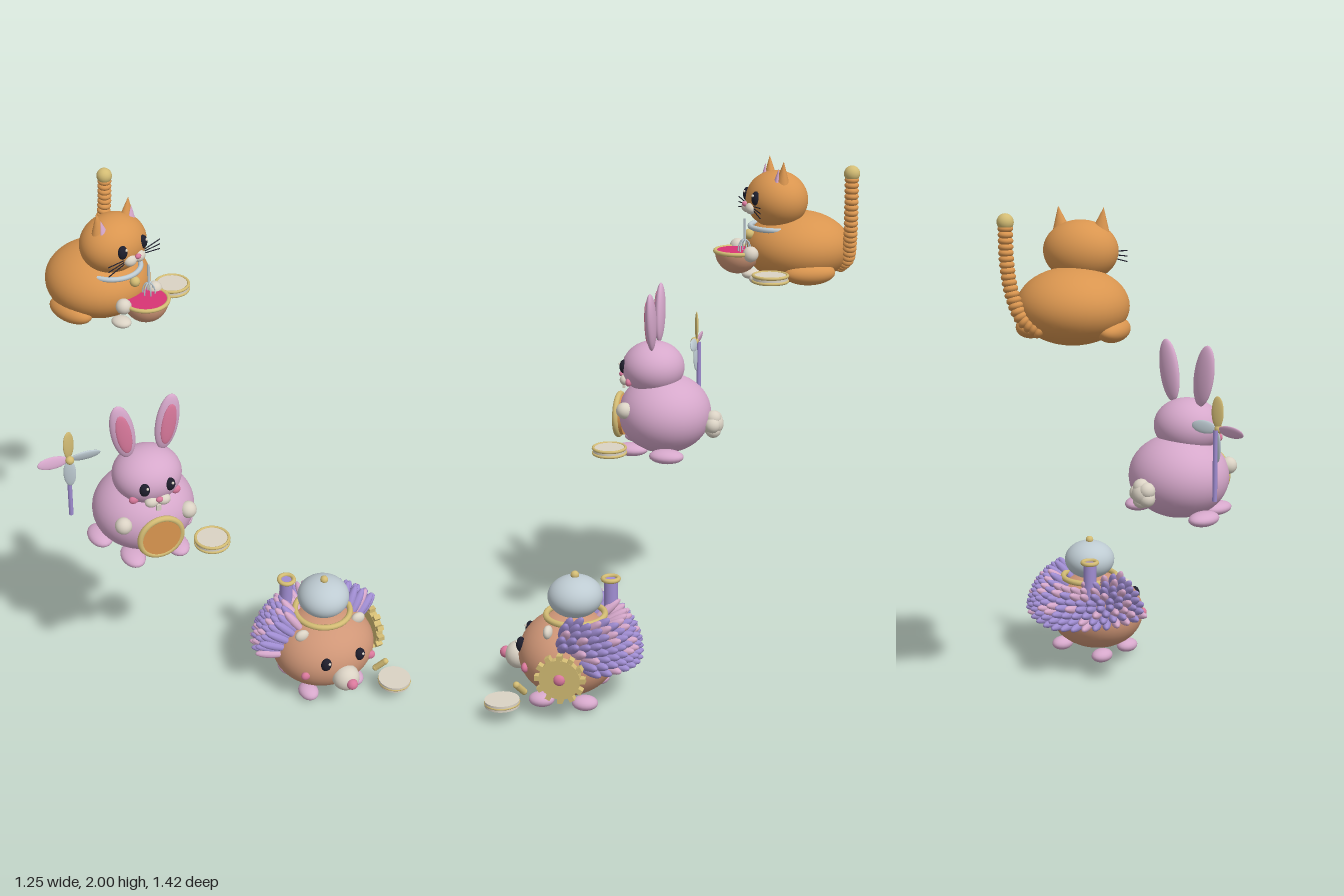
import * as THREE from 'three';
import { mergeGeometries } from 'three/addons/utils/BufferGeometryUtils.js';

const mat = (name, color) => Object.assign(new THREE.MeshStandardMaterial({ color }), { name });
const orange = mat('orange', 0xd9954f), mauve = mat('mauve', 0xd6a8cb), terracotta = mat('terracotta', 0xcf9677);
const cream = mat('cream', 0xdad2c4), gold = mat('gold', 0xd3bc74), steel = mat('pale steel', 0xbecbd2);
const purple = mat('purple', 0xa08dd2), rose = mat('rose', 0xd9799c), magenta = mat('magenta', 0xd83474);
const dark = mat('dark', 0x1e1e2c);

function add(parent, name, geo, material, pos, rot = [0, 0, 0]) {
  const m = new THREE.Mesh(geo, material);
  m.name = name;
  m.position.set(...pos);
  m.rotation.set(...rot);
  parent.add(m);
  return m;
}

function ball(parent, name, material, pos, r, rot) {
  const [x, y, z] = Array.isArray(r) ? r : [r, r, r];
  const seg = Math.max(x, y, z) > 0.09 ? 40 : 20;
  return add(parent, name, new THREE.SphereGeometry(1, seg, seg * 0.6).scale(x, y, z), material, pos, rot);
}

function rod(parent, name, material, a, b, r) {
  const path = new THREE.LineCurve3(new THREE.Vector3(...a), new THREE.Vector3(...b));
  return add(parent, name, new THREE.TubeGeometry(path, 1, r, 8), material, [0, 0, 0]);
}

const ring = (parent, name, material, pos, r, tube, rot = [Math.PI / 2, 0, 0]) =>
  add(parent, name, new THREE.TorusGeometry(r, tube, 10, 40), material, pos, rot);

const pair = (fn) => [-1, 1].forEach(fn);

function animal(root, name, x, z, yaw) {
  const g = new THREE.Group();
  g.name = name;
  g.position.set(x, 0, z);
  g.rotation.y = yaw;
  root.add(g);
  return g;
}

// Small round tin with two gold rims
function tin(parent, pos, rims) {
  const [x, y, z] = pos;
  add(parent, 'tin', new THREE.CylinderGeometry(0.066, 0.066, 0.024, 32), cream, pos);
  if (rims) pair((s) => ring(parent, 'tinRim', gold, [x, y + s * 0.01, z], 0.064, 0.006));
  else ring(parent, 'tinBand', gold, pos, 0.064, 0.004);
}

function eyes(parent, x, y, z, r) {
  pair((s) => {
    ball(parent, 'eye', dark, [s * x, y, z], [r * 0.85, r * 1.15, r * 0.7]);
    ball(parent, 'eyeGlint', cream, [s * x + r * 0.25, y + r * 0.5, z + r * 0.6], r * 0.22);
  });
}

function cat(root) {
  const g = animal(root, 'cat', -0.118, -0.505, 0.22);
  ball(g, 'body', orange, [0, 1.66, 0], [0.2, 0.137, 0.203]);
  ball(g, 'head', orange, [0, 1.845, 0.087], [0.136, 0.109, 0.117]);
  pair((s) => {
    add(g, 'ear', new THREE.ConeGeometry(0.044, 0.115, 24).scale(1, 1, 0.8), orange, [s * 0.077, 1.943, 0.09], [0, 0, -s * 0.14]);
    add(g, 'innerEar', new THREE.ConeGeometry(0.026, 0.08, 20).scale(1, 1, 0.5), mauve, [s * 0.076, 1.935, 0.113], [-0.14, 0, -s * 0.14]);
    ball(g, 'muzzle', cream, [s * 0.023, 1.818, 0.197], [0.027, 0.022, 0.022]);
    for (let i = -1; i <= 1; i++)
      rod(g, 'whisker', dark, [s * 0.055, 1.822 + i * 0.008, 0.195], [s * 0.14, 1.817 + i * 0.02, 0.195], 0.002);
    ball(g, 'frontPaw', cream, [s * 0.085, 1.655, 0.215], [0.03, 0.03, 0.03]);
    ball(g, 'foot', cream, [s * 0.048, 1.55, 0.165], [0.034, 0.02, 0.042]);
    ball(g, 'hindLeg', orange, [s * 0.15, 1.583, 0], [0.055, 0.044, 0.1]);
  });
  eyes(g, 0.054, 1.86, 0.187, 0.024);
  ball(g, 'nose', rose, [0, 1.833, 0.215], [0.013, 0.01, 0.01]);
  ring(g, 'collar', steel, [0, 1.742, 0.08], 0.107, 0.01);
  ball(g, 'collarBell', gold, [0, 1.716, 0.195], 0.02);

  // Mixing bowl and whisk
  const bowl = [0.007, 1.655, 0.243];
  add(g, 'bowl', new THREE.SphereGeometry(0.086, 32, 12, 0, Math.PI * 2, Math.PI / 2, Math.PI / 2), terracotta, bowl);
  add(g, 'bowlFilling', new THREE.CylinderGeometry(0.081, 0.081, 0.008, 32), magenta, bowl);
  ring(g, 'bowlRim', gold, bowl, 0.085, 0.008);
  rod(g, 'whiskHandle', steel, [0.042, 1.7, 0.226], [0.042, 1.785, 0.226], 0.005);
  for (let i = 0; i < 3; i++) {
    const wire = new THREE.TorusGeometry(0.024, 0.0025, 6, 24).scale(1, 1.6, 1);
    add(g, 'whiskWire', wire, steel, [0.042, 1.666, 0.226], [0, i * Math.PI / 3, 0]);
  }

  // Beaded tail
  const path = new THREE.CatmullRomCurve3([[0.07, 1.59, -0.15], [0.13, 1.63, -0.158], [0.172, 1.72, -0.15],
    [0.192, 1.83, -0.143], [0.196, 1.94, -0.14]].map((p) => new THREE.Vector3(...p)));
  const up = new THREE.Vector3(0, 1, 0);
  for (let i = 0; i <= 19; i++) {
    const p = path.getPointAt(i / 19);
    const b = ball(g, 'tailBead', orange, p.toArray(), [0.027, 0.016, 0.027]);
    b.quaternion.setFromUnitVectors(up, path.getTangentAt(i / 19));
  }
  ball(g, 'tailTip', gold, [0.196, 1.963, -0.14], 0.03);
  tin(g, [0.222, 1.59, 0.18], true);
}

function rabbit(root) {
  const g = animal(root, 'rabbit', -0.274, 0, -0.24);
  ball(g, 'body', mauve, [0, 0.95, 0], [0.197, 0.16, 0.187]);
  ball(g, 'head', mauve, [0, 1.138, 0.047], [0.133, 0.106, 0.125]);
  pair((s) => {
    ball(g, 'ear', mauve, [s * 0.088, 1.342, 0.038], [0.046, 0.12, 0.021], [0, 0, -s * 0.17]);
    ball(g, 'innerEar', rose, [s * 0.088, 1.34, 0.054], [0.029, 0.088, 0.008], [0, 0, -s * 0.17]);
    ball(g, 'muzzle', cream, [s * 0.024, 1.085, 0.158], [0.027, 0.022, 0.022]);
    ball(g, 'cheek', rose, [s * 0.084, 1.092, 0.13], [0.019, 0.017, 0.013]);
    ball(g, 'frontPaw', cream, [s * 0.13, 0.987, 0.138], 0.033);
    ball(g, 'frontFoot', mauve, [s * 0.09, 0.815, 0.12], [0.046, 0.026, 0.068]);
    ball(g, 'hindFoot', mauve, [s * 0.165, 0.818, -0.04], [0.048, 0.028, 0.07]);
  });
  eyes(g, 0.05, 1.147, 0.158, 0.024);
  ball(g, 'nose', rose, [0, 1.103, 0.178], [0.014, 0.011, 0.01]);
  add(g, 'teeth', new THREE.BoxGeometry(0.018, 0.026, 0.008), cream, [0, 1.058, 0.168]);

  // Drum
  add(g, 'drum', new THREE.CylinderGeometry(0.083, 0.083, 0.034, 36), orange, [0, 0.932, 0.18], [Math.PI / 2, 0, 0]);
  ring(g, 'drumRim', gold, [0, 0.932, 0.188], 0.083, 0.012, [0, 0, 0]);

  // Fluffy tail
  ball(g, 'tail', cream, [0, 0.915, -0.195], 0.046);
  for (let i = 0; i < 5; i++) {
    const a = i * Math.PI * 0.4;
    ball(g, 'tailTuft', cream, [Math.cos(a) * 0.026, 0.915 + Math.sin(a) * 0.026, -0.2], 0.032);
  }

  // Pinwheel on a stick
  const wheel = new THREE.Group();
  wheel.name = 'pinwheel';
  wheel.position.set(-0.261, 1.185, -0.08);
  g.add(wheel);
  rod(wheel, 'stick', purple, [0, -0.27, -0.01], [0, 0, -0.01], 0.009);
  ball(wheel, 'hub', gold, [0, 0, 0.008], 0.017);
  [steel, gold, mauve, steel].forEach((m, i) => {
    const a = i * Math.PI / 2;
    ball(wheel, 'blade', m, [Math.cos(a) * 0.065, Math.sin(a) * 0.065, 0], [0.06, 0.024, 0.007], [0, 0, a]).rotateX(0.3);
  });
  tin(g, [0.211, 0.845, 0.181], true);
}

function hedgehog(root) {
  const g = animal(root, 'hedgehog', 0.338, 0.39, -0.2);
  ball(g, 'body', terracotta, [0, 0.187, 0], [0.213, 0.16, 0.19]);
  ball(g, 'snout', cream, [0.003, 0.16, 0.195], [0.056, 0.054, 0.054]);
  ball(g, 'nose', rose, [0.003, 0.166, 0.247], 0.023);
  eyes(g, 0.076, 0.235, 0.168, 0.026);
  pair((s) => {
    ball(g, 'cheek', rose, [s * 0.149, 0.175, 0.135], [0.02, 0.019, 0.015]);
    ball(g, 'ear', cream, [s * 0.128, 0.315, 0.05], [0.03, 0.026, 0.018]);
    ball(g, 'frontFoot', mauve, [s * 0.105, 0.028, 0.085], [0.04, 0.028, 0.05]);
    ball(g, 'hindFoot', mauve, [s * 0.115, 0.03, -0.085], [0.04, 0.028, 0.05]);
  });

  // Quills in staggered rows over the back
  let seed = 7;
  const rand = () => (seed = (seed * 16807) % 2147483647) / 2147483647;
  const sets = [[], []], up = new THREE.Vector3(0, 1, 0), rows = 9;
  for (let r = 0; r < rows; r++) {
    const t = r / (rows - 1);
    const n = Math.round(19 * Math.cos(t * 0.9));
    for (let i = 0; i < n; i++) {
      const a = ((i + (r % 2 ? 0.5 : 0.2)) / n - 0.5) * 3.3;
      const e = THREE.MathUtils.lerp(-0.06 + 0.14 * Math.abs(a), 0.98, t);
      const d = new THREE.Vector3(Math.sin(a) * Math.cos(e), Math.sin(e), -Math.cos(a) * Math.cos(e));
      const p = new THREE.Vector3(d.x * 0.213, 0.187 + d.y * 0.16, d.z * 0.19);
      const nearGear = p.x > 0.15 && Math.hypot(p.y - 0.18, p.z + 0.01) < 0.09;
      if (nearGear || Math.hypot(p.x, p.z + 0.03) < 0.1) continue;
      const dir = d.clone().add(new THREE.Vector3(0, 0, -0.3)).normalize();
      p.addScaledVector(dir, 0.033);
      const m = new THREE.Matrix4().compose(p, new THREE.Quaternion().setFromUnitVectors(up, dir), new THREE.Vector3(0.0185, 0.065, 0.0185));
      sets[rand() < 0.33 ? 1 : 0].push(new THREE.SphereGeometry(1, 10, 8).applyMatrix4(m));
    }
  }
  add(g, 'purpleQuills', mergeGeometries(sets[0]), purple, [0, 0, 0]);
  add(g, 'mauveQuills', mergeGeometries(sets[1]), mauve, [0, 0, 0]);

  // Kettle dome with knob and chimney
  ball(g, 'dome', steel, [0.006, 0.418, -0.03], [0.105, 0.08, 0.105]);
  ring(g, 'domeCollar', gold, [0.006, 0.343, -0.03], 0.112, 0.012);
  ball(g, 'domeKnob', gold, [0.006, 0.503, -0.03], 0.016);
  add(g, 'chimney', new THREE.CylinderGeometry(0.027, 0.027, 0.17, 24), purple, [-0.103, 0.365, -0.146]);
  ring(g, 'chimneyRim', gold, [-0.103, 0.451, -0.146], 0.03, 0.009);

  // Side gear
  const gear = new THREE.Group();
  gear.name = 'gear';
  gear.position.set(0.233, 0.18, -0.018);
  gear.rotation.z = -Math.PI / 2;
  g.add(gear);
  add(gear, 'gearDisc', new THREE.CylinderGeometry(0.078, 0.078, 0.03, 36), gold, [0, 0, 0]);
  for (let i = 0; i < 12; i++) {
    const a = i * Math.PI / 6;
    add(gear, 'gearTooth', new THREE.BoxGeometry(0.024, 0.028, 0.02), gold, [Math.cos(a) * 0.084, 0, Math.sin(a) * 0.084], [0, -a, 0]);
  }
  ball(gear, 'gearHub', rose, [0, 0.015, 0], [0.022, 0.014, 0.022]);

  // Tin and spout
  tin(g, [0.228, 0.065, 0.207], false);
  rod(g, 'spout', gold, [0.178, 0.09, 0.135], [0.21, 0.13, 0.155], 0.013);
  pair((s) => ball(g, 'spoutEnd', gold, [0.194 + s * 0.016, 0.11 + s * 0.02, 0.145 + s * 0.01], 0.013));
}

export function createModel() {
  const root = new THREE.Group();
  root.name = 'animalTrio';
  cat(root);
  rabbit(root);
  hedgehog(root);
  return root;
}
